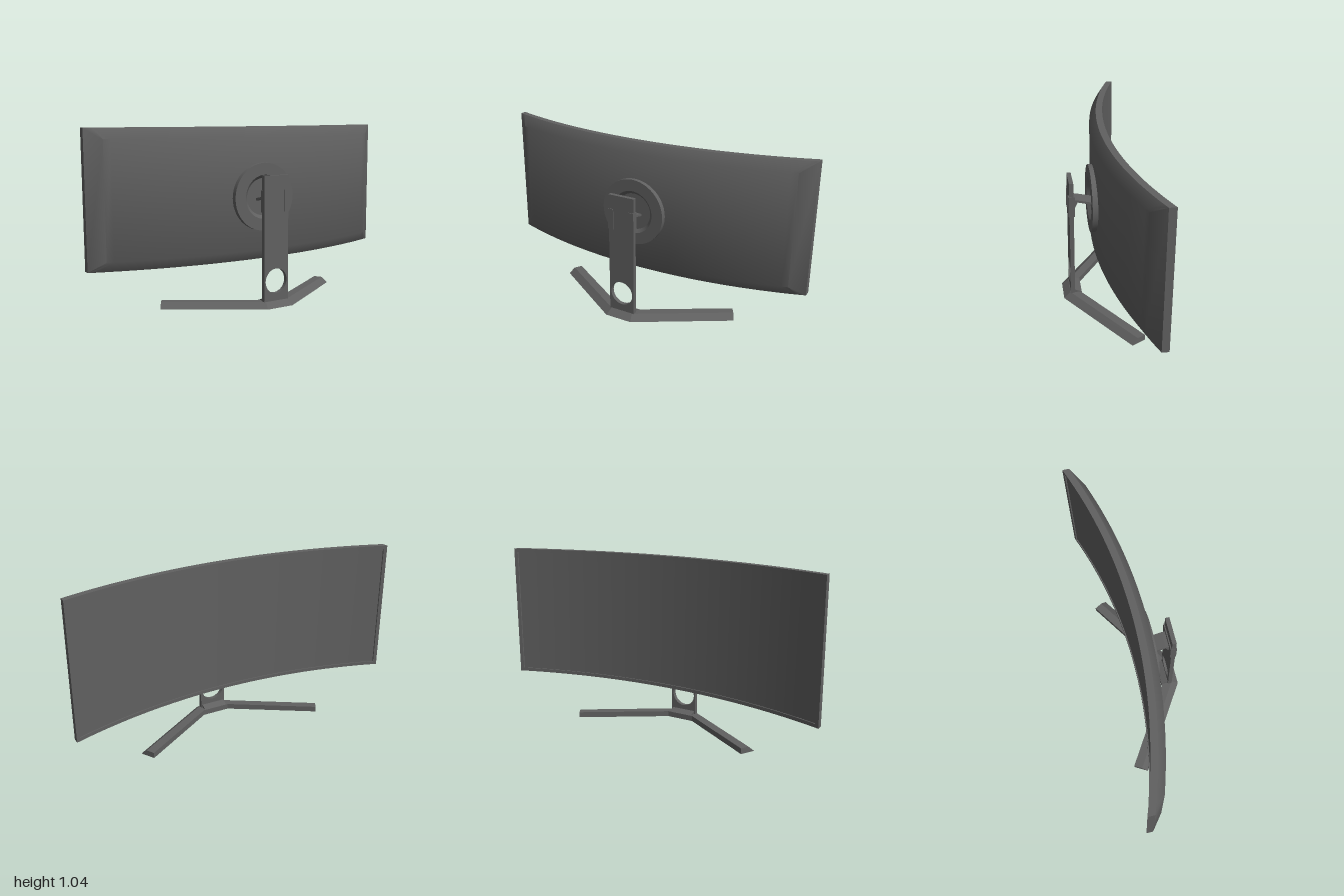
import * as THREE from 'three';
import { toCreasedNormals } from 'three/addons/utils/BufferGeometryUtils.js';

const R = 2.945;          // radius of the screen curve
const CY = 0.645;         // height of the panel centre
const W = 2, H = 0.79;    // panel width and height

export function createModel() {
  const group = new THREE.Group();
  const grey = new THREE.MeshStandardMaterial({ color: 0x606060 });
  grey.name = 'dark grey plastic';

  const add = (name, geo, x = 0, y = 0, z = 0) => {
    const mesh = new THREE.Mesh(geo, grey);
    mesh.name = name;
    mesh.position.set(x, y, z);
    group.add(mesh);
    return mesh;
  };
  const box = (name, x0, x1, y0, y1, z0, z1) =>
    add(name, new THREE.BoxGeometry(x1 - x0, y1 - y0, z1 - z0),
      (x0 + x1) / 2, (y0 + y1) / 2, (z0 + z1) / 2);

  // Box bent along the screen curve; the +z side can be drawn in to make a bevel
  const curved = (name, x0, x1, y0, y1, z0, z1, sx = 1, sy = 1) => {
    const segs = Math.max(1, Math.round((x1 - x0) * 24));
    const geo = new THREE.BoxGeometry(x1 - x0, y1 - y0, z1 - z0, segs, 1, 1);
    const p = geo.attributes.position;
    for (let i = 0; i < p.count; i++) {
      const back = p.getZ(i) > 0;
      const x = p.getX(i) * (back ? sx : 1) + (x0 + x1) / 2;
      const y = p.getY(i) * (back ? sy : 1) + (y0 + y1) / 2;
      const z = p.getZ(i) + (z0 + z1) / 2 - 0.05 - (R - Math.sqrt(R * R - x * x));
      p.setXYZ(i, x, y, z);
    }
    return add(name, toCreasedNormals(geo, 0.65), 0, CY, 0);
  };

  // Panel: bevelled housing, recessed screen and thin frame
  const hw = W / 2, hh = H / 2, rim = 0.02;
  curved('housing', -hw, hw, -hh, hh, 0.04, 0.08, 0.915, 0.67 / H);
  curved('screen', -hw + rim, hw - rim, -hh + rim, hh - rim, 0.007, 0.04);
  curved('frameTop', -hw, hw, hh - rim, hh, 0, 0.04);
  curved('frameBottom', -hw, hw, -hh, -hh + rim, 0, 0.04);
  curved('frameLeft', hw - rim, hw, -hh + rim, hh - rim, 0, 0.04);
  curved('frameRight', -hw, -hw + rim, -hh + rim, hh - rim, 0, 0.04);

  // Round mount with a dished middle
  const profile = [[0.2, 0], [0.2, 0.045], [0.13, 0.045], [0.11, 0.025], [0, 0.025]]
    .map(([r, y]) => new THREE.Vector2(r, y));
  const mount = toCreasedNormals(new THREE.LatheGeometry(profile, 48), 0.5);
  mount.rotateX(Math.PI / 2);
  add('mountRing', mount, 0, 0.63, 0.01);

  // Side profile given as [z, y], extruded across x
  const sideProfile = (name, points, width) => {
    const shape = new THREE.Shape(points.map(([z, y]) => new THREE.Vector2(-z, y)));
    const geo = new THREE.ExtrudeGeometry(shape, { depth: width, bevelEnabled: false });
    geo.translate(0, 0, -width / 2);
    geo.rotateY(Math.PI / 2);
    return add(name, geo);
  };
  sideProfile('mountArm', [[0.15, 0.645], [0.125, 0.643], [0.03, 0.622],
    [0.03, 0.608], [0.125, 0.63], [0.147, 0.585], [0.15, 0.585]], 0.1);
  sideProfile('postFoot', [[0.16, 0.03], [0.16, 0.052], [0.15, 0.05], [0.11, 0.033], [0.11, 0.03]], 0.15);

  // Upright post with a round cable hole
  const post = new THREE.Shape();
  post.moveTo(-0.083, 0.03).lineTo(0.083, 0.03).lineTo(0.083, 0.765).lineTo(-0.083, 0.765).closePath();
  post.holes.push(new THREE.Path().absarc(0, 0.15, 0.073, 0, Math.PI * 2, true));
  const postGeo = new THREE.ExtrudeGeometry(post, { depth: 0.025, bevelEnabled: false, curveSegments: 40 });
  add('post', toCreasedNormals(postGeo, 0.5), 0, 0, 0.152);

  // Sliding clamp gripping the post
  box('clampPlate', -0.085, 0.085, 0.555, 0.68, 0.145, 0.153);
  for (const s of [-1, 1]) {
    const side = s > 0 ? 'Left' : 'Right';
    const xs = [s * 0.052, s * 0.085].sort((a, b) => a - b);
    box('clampGrip' + side, xs[0], xs[1], 0.555, 0.68, 0.145, 0.182);
  }

  // V-shaped base: sections of [x, y, z], with a sloping outer face
  const T = 0.033;
  const tip = [[0.605, 0, -0.115], [0.585, T, -0.148], [0.56, T, -0.193], [0.56, 0, -0.193]];
  const mid = [[0.085, 0, 0.22], [0.072, T, 0.18], [0.085, T, 0.11], [0.085, 0, 0.11]];
  const mirror = (s) => s.map(([x, y, z]) => [-x, y, z]);
  const sections = [mirror(tip), mirror(mid), mid, tip];
  const verts = [];
  const quad = (a, b, c, d) => verts.push(...a, ...b, ...c, ...a, ...c, ...d);
  for (let i = 0; i < 3; i++) {
    const a = sections[i], b = sections[i + 1];
    for (let k = 0; k < 4; k++) {
      const n = (k + 1) % 4;
      quad(a[k], b[k], b[n], a[n]);
    }
  }
  quad(...sections[0]);
  quad(...[...tip].reverse());
  const base = new THREE.BufferGeometry();
  base.setAttribute('position', new THREE.Float32BufferAttribute(verts, 3));
  base.computeVertexNormals();
  add('base', base);

  return group;
}
